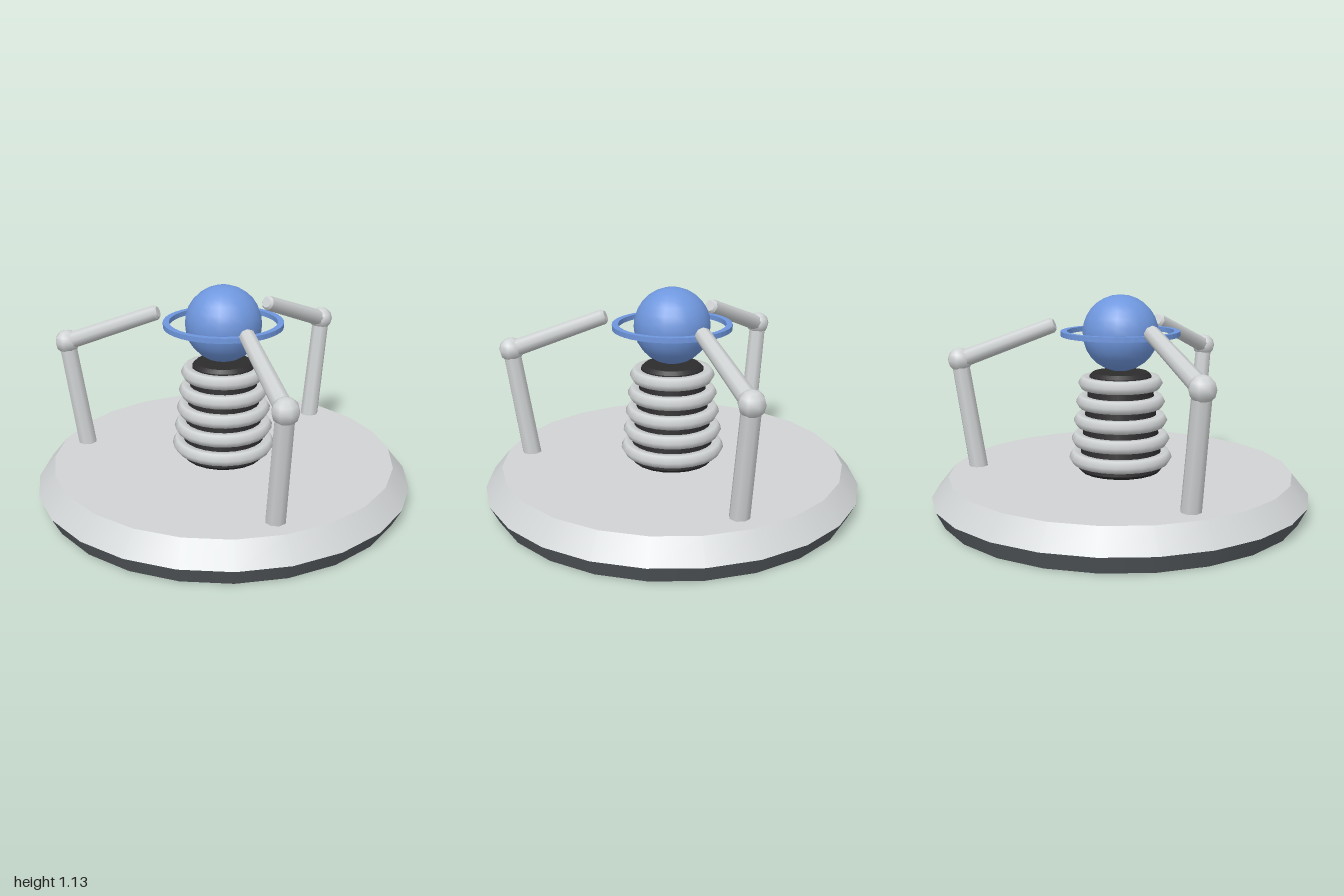
import * as THREE from 'three';

const paint = (name, color) => Object.assign(new THREE.MeshStandardMaterial({ color }), { name });

export function createModel() {
  const lightGrey = paint('lightGrey', 0xd0d3d4);
  const slate = paint('slate', 0x5c6266);
  const charcoal = paint('charcoal', 0x2e2c2e);
  const blue = paint('blue', 0x6f97de);

  const model = new THREE.Group();
  model.name = 'domedDevice';

  const add = (parent, name, geometry, material, x = 0, y = 0, z = 0) => {
    const mesh = new THREE.Mesh(geometry, material);
    mesh.name = name;
    mesh.position.set(x, y, z);
    parent.add(mesh);
    return mesh;
  };

  // Frustum standing between two heights
  const frustum = (name, y0, y1, r0, r1, sides, material) =>
    add(model, name, new THREE.CylinderGeometry(r1, r0, y1 - y0, sides), material, 0, (y0 + y1) / 2);

  // Tapered rod between two points
  const rod = (parent, name, from, to, r0, r1, material) => {
    const dir = to.clone().sub(from);
    const mesh = add(parent, name, new THREE.CylinderGeometry(r1, r0, dir.length(), 8), material);
    mesh.position.copy(from).add(to).multiplyScalar(0.5);
    mesh.quaternion.setFromUnitVectors(new THREE.Vector3(0, 1, 0), dir.normalize());
    return mesh;
  };

  // Disc base: dark lower bevel with a darker underside, pale upper bevel
  frustum('baseLower', 0, 0.09, 0.955, 1, 24, [slate, slate, charcoal]);
  frustum('baseUpper', 0.09, 0.2, 1, 0.91, 24, lightGrey);

  // Tapered column with bevelled ends
  frustum('columnFoot', 0.2, 0.216, 0.212, 0.226, 20, charcoal);
  frustum('columnBody', 0.216, 0.712, 0.226, 0.164, 20, charcoal);
  frustum('columnTop', 0.712, 0.73, 0.164, 0.145, 20, charcoal);

  // Insulator rings, shrinking upwards
  for (let i = 0; i < 5; i++) {
    const torus = new THREE.TorusGeometry(0.238 - i * 0.0128, 0.037, 6, 24).rotateX(Math.PI / 2);
    add(model, 'columnRing', torus, lightGrey, 0, 0.275 + i * 0.1);
  }

  // Ball and its surrounding hoop of square section
  add(model, 'ball', new THREE.SphereGeometry(0.2, 20, 14), blue, 0, 0.935);
  const hoop = new THREE.Shape().absarc(0, 0, 0.312, 0, Math.PI * 2);
  hoop.holes.push(new THREE.Path().absarc(0, 0, 0.28, 0, Math.PI * 2, true));
  const hoopGeometry = new THREE.ExtrudeGeometry(hoop, { depth: 0.026, bevelEnabled: false, curveSegments: 20 });
  add(model, 'hoop', hoopGeometry.rotateX(-Math.PI / 2), blue, 0, 0.922);

  // Three jointed arms reaching in towards the ball
  const foot = new THREE.Vector3(0.78, 0.19, 0);
  const knee = new THREE.Vector3(0.865, 0.78, 0);
  const tip = new THREE.Vector3(0.348, 0.977, 0);
  const neck = tip.clone().lerp(knee, 0.025);
  for (let i = 0; i < 3; i++) {
    const arm = new THREE.Group();
    arm.name = 'arm';
    arm.rotation.y = (i * Math.PI * 2) / 3;
    rod(arm, 'lowerArm', foot, knee, 0.051, 0.047, lightGrey);
    add(arm, 'elbow', new THREE.SphereGeometry(0.066, 8, 6), lightGrey, knee.x, knee.y);
    rod(arm, 'upperArm', knee, neck, 0.046, 0.04, lightGrey);
    rod(arm, 'armTip', neck, tip, 0.04, 0.029, lightGrey);
    model.add(arm);
  }

  return model;
}
